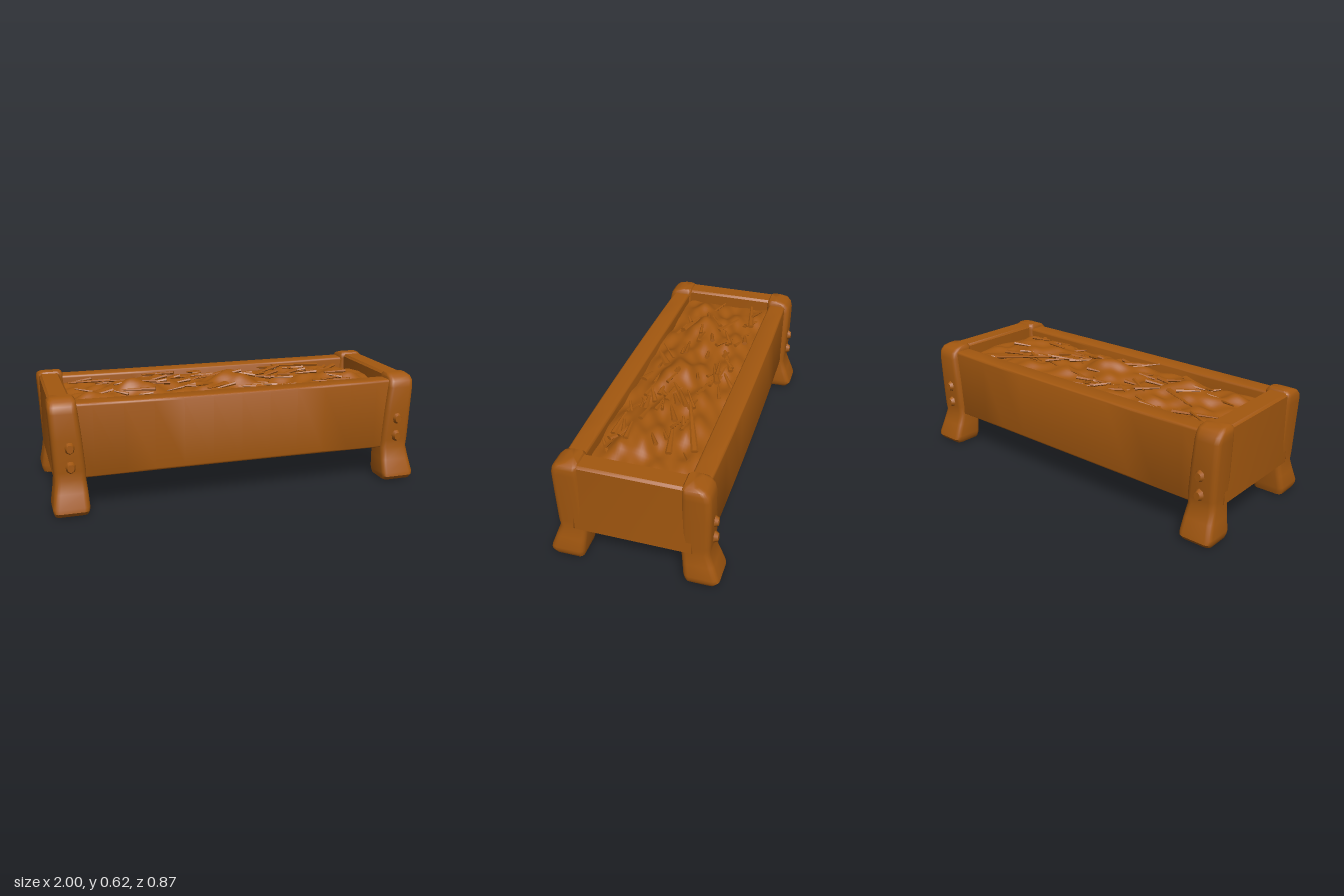
import * as THREE from 'three';
import { toCreasedNormals } from 'three/addons/utils/BufferGeometryUtils.js';

const wood = new THREE.MeshStandardMaterial({ color: 0xa2570f });
wood.name = 'brownWood';

let seed = 7;
const rand = () => (seed = (seed * 16807) % 2147483647) / 2147483647;
const range = (a, b) => a + (b - a) * rand();

// Lofts rounded rectangles [w, u0, u1, v0, v1, radius] along an axis (u x v = w).
const PLACE = {
  x: (u, v, w) => [w, u, v],
  y: (u, v, w) => [v, w, u],
};
function loft(axis, sections) {
  const pos = [], idx = [], arc = 4, n = 4 * (arc + 1);
  const put = (u, v, w) => pos.push(...PLACE[axis](u, v, w));
  for (const [w, u0, u1, v0, v1, r] of sections) {
    const corners = [[u1 - r, v1 - r], [u0 + r, v1 - r], [u0 + r, v0 + r], [u1 - r, v0 + r]];
    corners.forEach(([cu, cv], k) => {
      for (let s = 0; s <= arc; s++) {
        const t = (k + s / arc) * Math.PI / 2;
        put(cu + r * Math.cos(t), cv + r * Math.sin(t), w);
      }
    });
  }
  const last = sections.length - 1;
  for (const i of [0, last]) {
    const [w, u0, u1, v0, v1] = sections[i];
    put((u0 + u1) / 2, (v0 + v1) / 2, w);
  }
  const c0 = (last + 1) * n;
  for (let j = 0; j < n; j++) {
    const k = (j + 1) % n;
    for (let i = 0; i < last; i++) {
      const a = i * n + j, b = i * n + k;
      idx.push(a, b, b + n, a, b + n, a + n);
    }
    idx.push(c0, k, j, c0 + 1, last * n + j, last * n + k);
  }
  const g = new THREE.BufferGeometry();
  g.setAttribute('position', new THREE.Float32BufferAttribute(pos, 3));
  g.setIndex(idx);
  return toCreasedNormals(g, 0.75);
}

function add(parent, name, geometry) {
  const m = new THREE.Mesh(geometry, wood);
  m.name = name;
  parent.add(m);
  return m;
}

// Post silhouette: y, inner z, outer z, inner x, outer x, corner radius
const POST = [
  [0.0, 0.28, 0.40, 0.84, 0.975, 0.02],
  [0.008, 0.265, 0.42, 0.825, 0.99, 0.025],
  [0.03, 0.258, 0.437, 0.817, 0.998, 0.03],
  [0.05, 0.255, 0.433, 0.815, 1.0, 0.03],
  [0.12, 0.247, 0.407, 0.818, 0.988, 0.03],
  [0.185, 0.24, 0.383, 0.823, 0.98, 0.03],
  [0.23, 0.24, 0.388, 0.822, 0.982, 0.03],
  [0.4, 0.243, 0.391, 0.835, 0.988, 0.03],
  [0.53, 0.247, 0.391, 0.848, 0.994, 0.03],
  [0.565, 0.248, 0.382, 0.851, 0.995, 0.03],
  [0.585, 0.25, 0.362, 0.854, 0.99, 0.025],
  [0.598, 0.26, 0.325, 0.865, 0.975, 0.02],
];

// Bumpy surface of the filling, lower along the walls
function fillHeight(x, z) {
  const edge = Math.min(1, (0.27 - Math.abs(z)) / 0.13) * Math.min(1, (0.89 - Math.abs(x)) / 0.15);
  const wave = Math.sin(x * 9 + z * 14) * 0.014 + Math.sin(x * 21 - z * 17 + 1) * 0.01
    + Math.sin(x * 37 + z * 43) * 0.006 + Math.sin(x * 13 - z * 51) * 0.006;
  let mound = 0;
  for (const [mx, mz, h] of [[-0.45, 0.05, 0.05], [0.0, 0.04, 0.055], [0.55, 0.06, 0.045]])
    mound += h * Math.exp(-((x - mx) ** 2) / 0.02 - ((z - mz) ** 2) / 0.008);
  return 0.515 + 0.028 * edge + wave * (0.5 + 0.5 * edge) + mound;
}

export function createModel() {
  const model = new THREE.Group();
  model.name = 'feedingTrough';

  // Four flared corner posts with two pegs each
  for (const sx of [1, -1]) for (const sz of [1, -1]) {
    const post = new THREE.Group();
    post.name = 'cornerPost';
    model.add(post);
    const span = (a, b, s) => (s > 0 ? [a, b] : [-b, -a]);
    add(post, 'leg', loft('y', POST.map(([y, z0, z1, x0, x1, r]) =>
      [y, ...span(z0, z1, sz), ...span(x0, x1, sx), r])));
    for (const y of [0.255, 0.355]) {
      const peg = add(post, 'peg', new THREE.CylinderGeometry(0.022, 0.044, 0.04, 7));
      peg.rotation.x = sz * Math.PI / 2;
      peg.scale.x = 0.8;
      peg.position.set(sx * 0.9, y, sz * 0.389);
    }
  }

  // Long boards, bowed slightly outward in the middle
  for (const sz of [1, -1]) {
    const sections = [];
    for (let i = 0; i <= 12; i++) {
      const x = -0.93 + 1.86 * i / 12, bow = 1 - (x / 0.93) ** 2;
      const outer = 0.36 + 0.013 * bow, inner = 0.262;
      sections.push([x, 0.18 + 0.008 * bow, 0.572 - 0.004 * bow,
        sz > 0 ? inner : -outer, sz > 0 ? outer : -inner, 0.014]);
    }
    add(model, 'longBoard', loft('x', sections));
  }

  // End boards
  for (const sx of [1, -1]) {
    const x0 = sx > 0 ? 0.872 : -0.983, x1 = x0 + 0.111;
    add(model, 'endBoard', loft('y', [
      [0.18, -0.31, 0.31, x0 + 0.012, x1 - 0.012, 0.01],
      [0.192, -0.31, 0.31, x0, x1, 0.014],
      [0.4, -0.31, 0.31, x0, x1, 0.014],
      [0.578, -0.31, 0.31, x0, x1, 0.014],
      [0.59, -0.31, 0.31, x0 + 0.012, x1 - 0.012, 0.01],
    ]));
  }

  // Floor
  add(model, 'floor', new THREE.BoxGeometry(1.84, 0.06, 0.64)).position.y = 0.218;

  // Filling surface
  const fill = new THREE.PlaneGeometry(1.78, 0.54, 110, 40).rotateX(-Math.PI / 2);
  const p = fill.attributes.position;
  for (let i = 0; i < p.count; i++) p.setY(i, fillHeight(p.getX(i), p.getZ(i)));
  fill.computeVertexNormals();
  add(model, 'strawFilling', fill);

  // Loose straws: flattened, pointed slivers
  const sliver = toCreasedNormals(new THREE.CylinderGeometry(0.35, 0.9, 1, 6, 1).rotateZ(Math.PI / 2), 0.4);
  const straws = new THREE.Group();
  straws.name = 'looseStraws';
  model.add(straws);
  const lay = (x, z, length, width, yaw, pitch, lift) => {
    const s = add(straws, 'straw', sliver);
    s.scale.set(length, 0.011, width);
    s.rotation.set(0, yaw, pitch, 'YXZ');
    s.position.set(x, Math.min(fillHeight(x, z) + lift, 0.6), z);
  };
  // Large straws: x, z, length, width, yaw
  for (const [x, z, l, w, yaw] of [
    [0.5, -0.16, 0.36, 0.022, 0.35], [0.28, -0.04, 0.2, 0.018, 0.5], [0.6, -0.08, 0.22, 0.02, 0.2],
    [-0.22, -0.15, 0.17, 0.022, 0.4], [-0.02, -0.14, 0.18, 0.022, 0.35], [-0.08, 0.18, 0.15, 0.026, 0.6],
    [-0.72, -0.18, 0.24, 0.02, 0.2], [-0.55, -0.08, 0.2, 0.02, -0.4], [0.06, 0.22, 0.1, 0.03, -0.3],
    [0.62, 0.16, 0.2, 0.02, 0.3], [-0.5, 0.14, 0.18, 0.02, -0.3], [0.33, 0.14, 0.16, 0.022, 0.15],
  ]) lay(x, z, l, w, yaw, range(-0.12, 0.12), 0.012);
  // Scattered small straws
  for (let i = 0; i < 75; i++) {
    lay(range(-0.76, 0.76), range(-0.21, 0.21), range(0.07, 0.17), range(0.009, 0.02),
      range(-0.6, 0.7), range(-0.22, 0.22), range(-0.002, 0.01));
  }
  return model;
}
